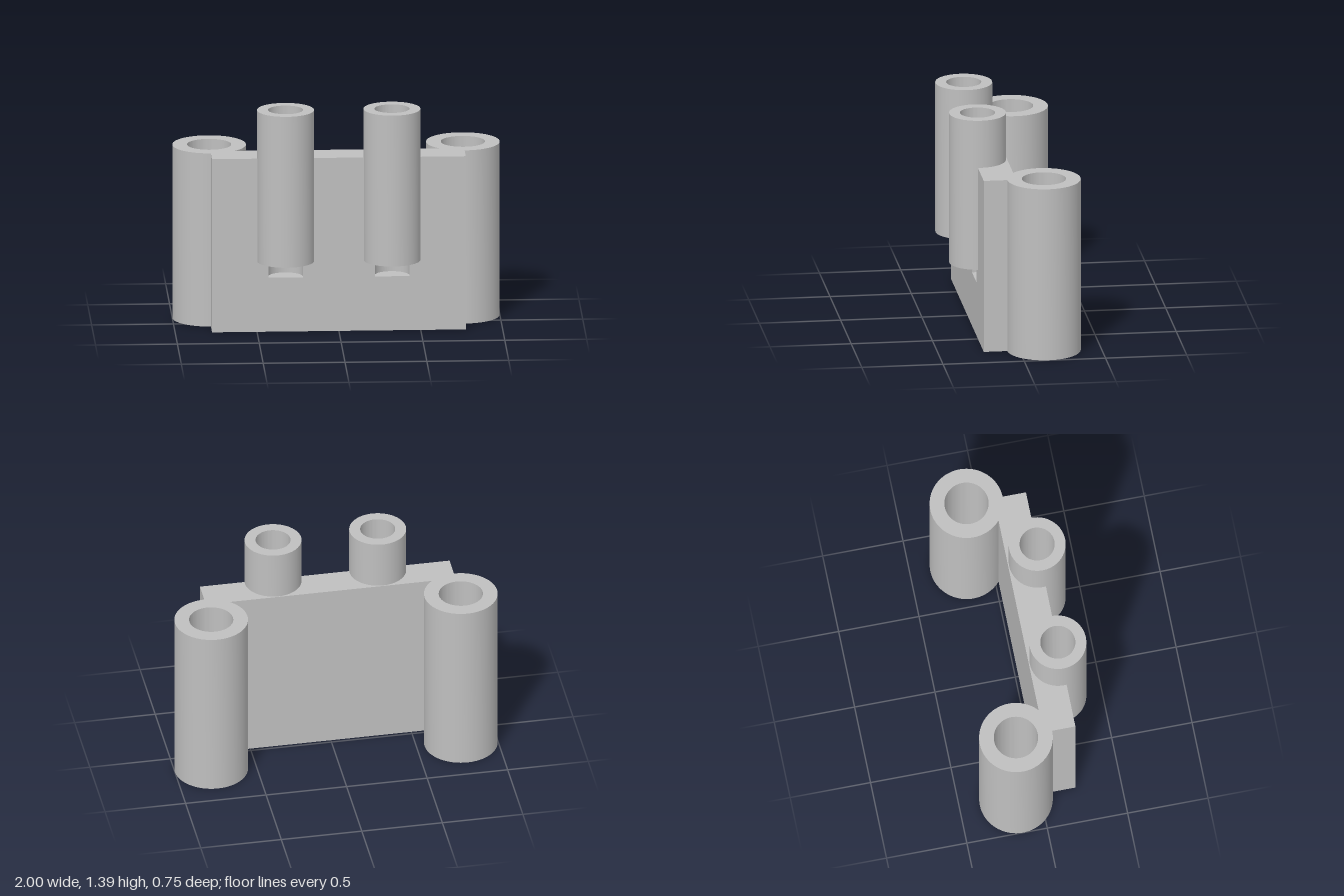
import * as THREE from 'three';
import { toCreasedNormals } from 'three/addons/utils/BufferGeometryUtils.js';

const PLATE = { halfWidth: 0.775, back: 0.02, front: 0.22, top: 1.09 };
const SIDE = { x: 0.775, z: -0.15, outer: 0.225, bore: 0.135 };
const PIN = { x: 0.325, z: 0.2, outer: 0.174, bore: 0.107, bottom: 0.44, top: 1.39, floor: 0.34 };

// Extrude an x/z outline vertically between two heights
function upright(shape, bottom, top) {
  const geometry = new THREE.ExtrudeGeometry(shape, {
    depth: top - bottom, bevelEnabled: false, curveSegments: 48,
  });
  geometry.rotateX(Math.PI / 2).translate(0, top, 0);
  return toCreasedNormals(geometry, 0.6);
}

function ring(outer, bore) {
  const shape = new THREE.Shape().absarc(0, 0, outer, 0, Math.PI * 2, false);
  shape.holes.push(new THREE.Path().absarc(0, 0, bore, 0, Math.PI * 2, true));
  return shape;
}

// Plate outline, optionally with the two round channels left by the small bores
function plateOutline(withChannels) {
  const { halfWidth: w, back, front } = PLATE;
  const shape = new THREE.Shape();
  shape.moveTo(-w, back);
  shape.lineTo(w, back);
  shape.lineTo(w, front);
  if (withChannels) {
    const a = Math.asin((front - PIN.z) / PIN.bore);
    for (const s of [1, -1]) shape.absarc(s * PIN.x, PIN.z, PIN.bore, a, Math.PI - a, true);
  }
  shape.lineTo(-w, front);
  shape.closePath();
  return shape;
}

export function createModel() {
  const model = new THREE.Group();
  model.name = 'tubeBracket';
  const grey = new THREE.MeshStandardMaterial({ color: 0xbfbfbf });
  grey.name = 'light grey';

  const add = (name, geometry, x = 0, z = 0) => {
    const mesh = new THREE.Mesh(geometry, grey);
    mesh.name = name;
    mesh.position.set(x, 0, z);
    model.add(mesh);
  };

  // Plate: solid foot, then the part with open channels
  add('plateFoot', upright(plateOutline(false), 0, PIN.floor));
  add('plateBody', upright(plateOutline(true), PIN.floor, PLATE.top));

  // Tubes, mirrored left and right
  const sideTube = upright(ring(SIDE.outer, SIDE.bore), 0, PLATE.top);
  const frontTube = upright(ring(PIN.outer, PIN.bore), PIN.bottom, PIN.top);
  for (const [side, s] of [['left', 1], ['right', -1]]) {
    add(side + 'SideTube', sideTube, s * SIDE.x, SIDE.z);
    add(side + 'FrontTube', frontTube, s * PIN.x, PIN.z);
  }
  return model;
}
